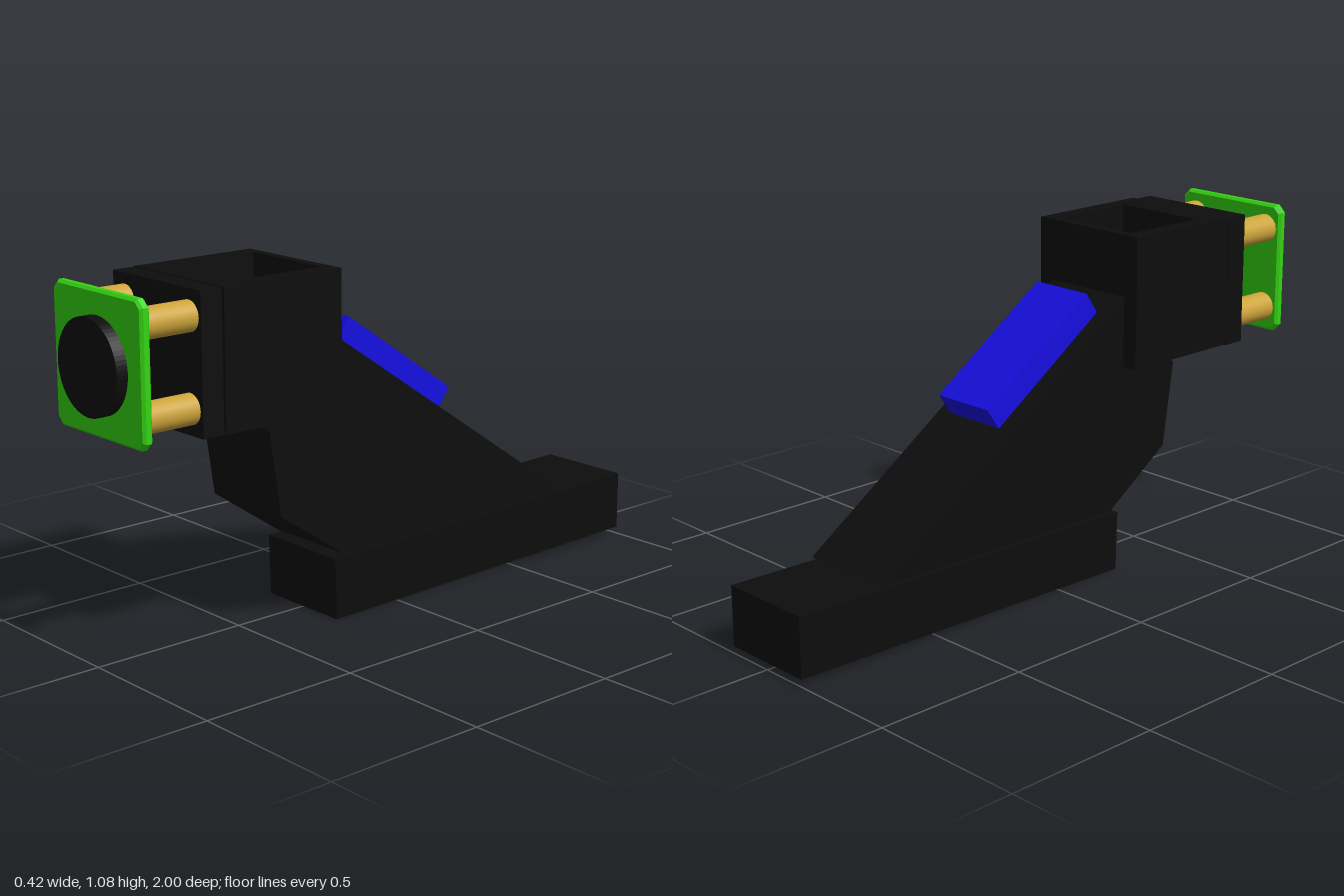
import * as THREE from 'three';

const paint = (color) => new THREE.MeshStandardMaterial({ color, flatShading: true });

function polygon(points) {
  return new THREE.Shape(points.map(([a, b]) => new THREE.Vector2(a, b)));
}

function rectangle(x0, x1, y0, y1) {
  return polygon([[x0, y0], [x1, y0], [x1, y1], [x0, y1]]);
}

// Extrudes a (z, y) side profile across x, centred.
function sideExtrude(points, width) {
  const geo = new THREE.ExtrudeGeometry(polygon(points), { depth: width, bevelEnabled: false });
  return geo.translate(0, 0, -width / 2).rotateY(-Math.PI / 2);
}

export function createModel() {
  const group = new THREE.Group();
  const black = paint(0x0d0d0d);
  const green = paint(0x33d411);
  const blue = paint(0x150edf);
  const gold = new THREE.MeshStandardMaterial({ color: 0xcca43b });

  function add(name, geometry, material, x = 0, y = 0, z = 0) {
    const mesh = new THREE.Mesh(geometry, material);
    mesh.name = name;
    mesh.position.set(x, y, z);
    group.add(mesh);
    return mesh;
  }

  // Slightly tilted foot bar and the sloping body above it
  add('base', sideExtrude([[0.25, 0], [0.255, 0.19], [-1, 0.21], [-1, 0.022]], 0.312), black);
  add('body', sideExtrude([
    [0.5, 0.63], [0.46, 0.365], [0.22, 0.2], [-0.71, 0.215], [0.295, 0.897],
  ], 0.312), black);

  // Open-topped square sleeve at the head
  const sleeve = rectangle(-0.207, 0.207, 0.272, 0.692);
  sleeve.holes.push(rectangle(-0.155, 0.155, 0.302, 0.592));
  const sleeveGeo = new THREE.ExtrudeGeometry(sleeve, { depth: 0.413, bevelEnabled: false });
  add('sleeve', sleeveGeo.rotateX(Math.PI / 2), black, 0, 1.075, 0);

  // Plate on the sleeve front, a little off centre
  const midX = -0.006, midY = 0.866;
  add('mountPlate', new THREE.BoxGeometry(0.406, 0.413, 0.075), black, midX, midY, 0.726);

  // Four round standoffs
  for (const sx of [-1, 1]) {
    for (const sy of [-1, 1]) {
      const post = new THREE.CylinderGeometry(0.045, 0.045, 0.185, 32).rotateX(Math.PI / 2);
      add('standoff', post, gold, midX + sx * 0.148, midY + sy * 0.13, 0.848);
    }
  }

  // Front board with clipped corners and a small bevel
  const h = 0.2, c = 0.182;
  const board = polygon([[c, -h], [h, -c], [h, c], [c, h], [-c, h], [-h, c], [-h, -c], [-c, -h]]);
  const boardGeo = new THREE.ExtrudeGeometry(board, {
    depth: 0.016, bevelThickness: 0.008, bevelSize: 0.008, bevelSegments: 1,
  });
  add('board', boardGeo, green, midX, midY, 0.94);

  // Round disc on the board
  const disc = new THREE.CylinderGeometry(0.14, 0.14, 0.04, 64).rotateX(Math.PI / 2);
  add('disc', disc, black, -0.004, 0.863, 0.98);

  // Blue block lying on the slope
  const block = add('slopeBlock', new THREE.BoxGeometry(0.214, 0.08, 0.496), blue, 0, 0.731, -0.024);
  block.rotation.x = -0.598;

  return group;
}
